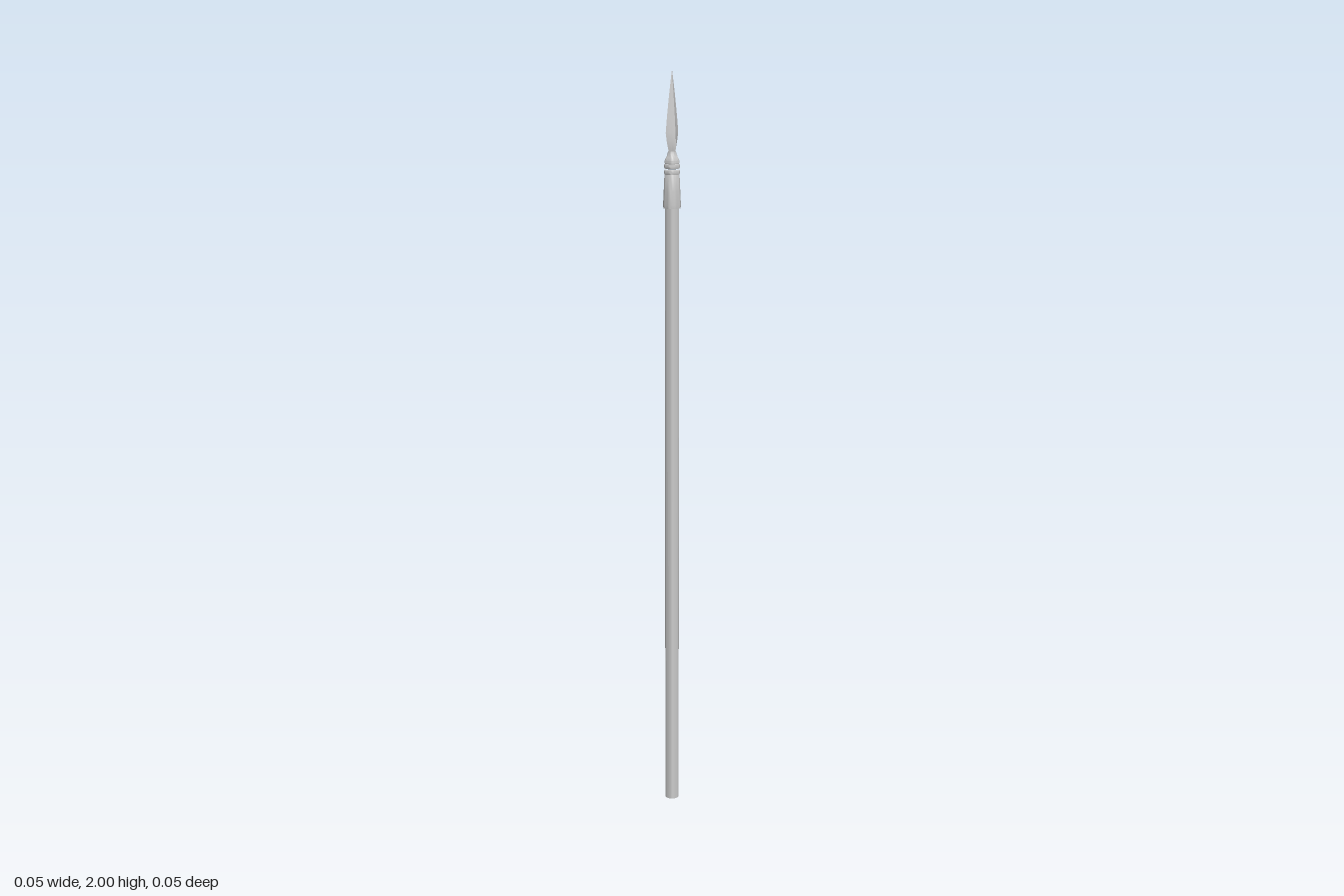
import * as THREE from 'three';
import { toCreasedNormals } from 'three/addons/utils/BufferGeometryUtils.js';

const material = new THREE.MeshStandardMaterial({ color: 0xcccccc });

function addPart(group, name, geometry, creaseAngle) {
  const mesh = new THREE.Mesh(toCreasedNormals(geometry, creaseAngle), material);
  mesh.name = name;
  group.add(mesh);
}

// Turned part from [radius, height] pairs, listed from bottom to top
function turned(profile) {
  return new THREE.LatheGeometry(profile.map(([r, y]) => new THREE.Vector2(r, y)), 24);
}

// Blade lofted through eight-sided sections with hollow faces between edges and ridges
function bladeGeometry() {
  const sections = [ // height, half width, half depth
    [1.785, 0.010, 0.010],
    [1.80, 0.015, 0.014],
    [1.82, 0.020, 0.0135],
    [1.84, 0.0235, 0.0125],
    [1.88, 0.019, 0.010],
    [1.93, 0.012, 0.006],
    [1.97, 0.0055, 0.0025],
    [2.0, 0.0003, 0.0003],
  ];
  const n = 8, positions = [], indices = [];
  for (const [y, w, d] of sections) {
    for (let i = 0; i < n; i++) {
      const a = (i / n) * Math.PI * 2;
      const k = i % 2 ? 0.62 : 1;
      positions.push(Math.cos(a) * w * k, y, -Math.sin(a) * d * k);
    }
  }
  for (let s = 0; s < sections.length - 1; s++) {
    for (let i = 0; i < n; i++) {
      const a = s * n + i, b = s * n + (i + 1) % n;
      indices.push(a, b, a + n, b, b + n, a + n);
    }
  }
  // Close both ends with fans
  const top = (sections.length - 1) * n;
  for (let i = 1; i < n - 1; i++) {
    indices.push(0, i + 1, i, top, top + i, top + i + 1);
  }
  const geometry = new THREE.BufferGeometry();
  geometry.setAttribute('position', new THREE.Float32BufferAttribute(positions, 3));
  geometry.setIndex(indices);
  return geometry;
}

export function createModel() {
  const spear = new THREE.Group();
  spear.name = 'spear';

  // Long round pole
  const shaft = new THREE.CylinderGeometry(0.0185, 0.0185, 1.7, 24);
  shaft.translate(0, 0.85, 0);
  addPart(spear, 'shaft', shaft, 0.6);

  // Sleeve gripping the pole, with its lower lip
  addPart(spear, 'socket', turned([
    [0.018, 1.645], [0.0225, 1.645], [0.0232, 1.655], [0.0215, 1.69],
    [0.0195, 1.735], [0.0165, 1.74],
  ]), 0.6);

  // Two raised bands
  for (const y of [1.738, 1.754]) {
    addPart(spear, 'band', turned([
      [0.016, y - 0.007], [0.0195, y - 0.006], [0.021, y], [0.0195, y + 0.006], [0.016, y + 0.007],
    ]), 0.8);
  }

  // Domed collar narrowing into the blade
  addPart(spear, 'neck', turned([
    [0.016, 1.755], [0.0195, 1.763], [0.0185, 1.769], [0.015, 1.777],
    [0.0115, 1.785], [0.0105, 1.792], [0, 1.792],
  ]), 0.8);

  addPart(spear, 'blade', bladeGeometry(), 0.3);
  return spear;
}
